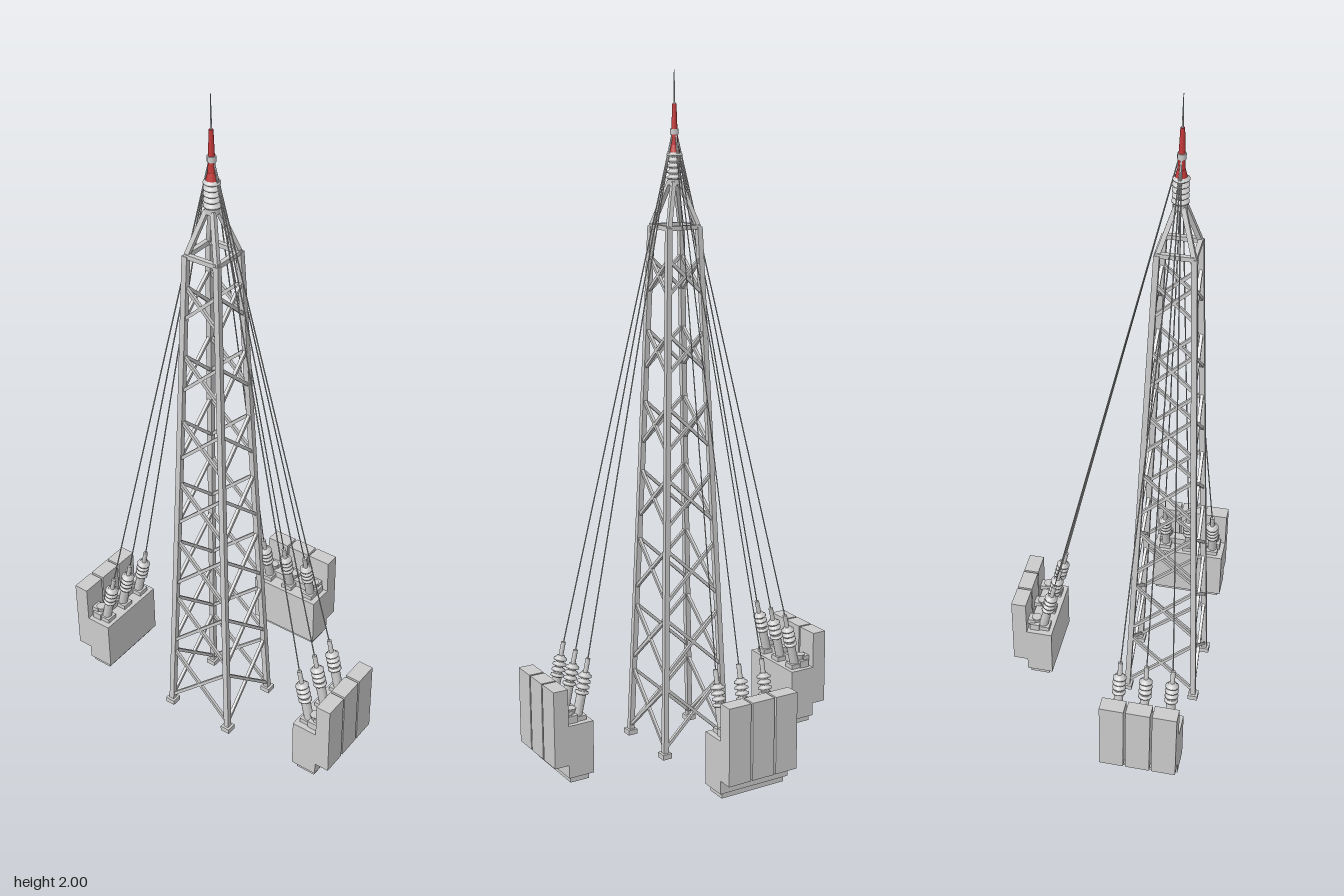
import * as THREE from 'three';

const grey = new THREE.MeshStandardMaterial({ color: 0xcccccc, flatShading: true });
const smooth = new THREE.MeshStandardMaterial({ color: 0xcccccc });
const red = new THREE.MeshStandardMaterial({ color: 0xc43a3a });
const V = (x, y, z) => new THREE.Vector3(x, y, z);

function add(parent, name, geometry, material, x = 0, y = 0, z = 0) {
  const mesh = new THREE.Mesh(geometry, material);
  mesh.name = name;
  mesh.position.set(x, y, z);
  parent.add(mesh);
  return mesh;
}

// Box given by its lower and upper limits
function block(parent, name, x0, x1, y0, y1, z0, z1) {
  return add(parent, name, new THREE.BoxGeometry(x1 - x0, y1 - y0, z1 - z0), grey,
    (x0 + x1) / 2, (y0 + y1) / 2, (z0 + z1) / 2);
}

// Square bar or round rod between two points
function between(parent, name, a, b, geometry, material) {
  const mesh = add(parent, name, geometry, material);
  mesh.position.copy(a).lerp(b, 0.5);
  mesh.quaternion.setFromUnitVectors(V(0, 1, 0), b.clone().sub(a).normalize());
  return mesh;
}
const bar = (parent, name, a, b, t) =>
  between(parent, name, a, b, new THREE.BoxGeometry(t, a.distanceTo(b), t), grey);
const rod = (parent, name, a, b, r, sides = 6) =>
  between(parent, name, a, b, new THREE.CylinderGeometry(r, r, a.distanceTo(b), sides), smooth);

// Stack of insulator discs, base at y = 0
function ribbedGeometry(height, inner, outer, count) {
  const points = [new THREE.Vector2(0, 0)];
  const step = height / count;
  for (let i = 0; i < count; i++) {
    const y = i * step;
    points.push(new THREE.Vector2(inner, y), new THREE.Vector2(outer, y + step * 0.2),
      new THREE.Vector2(outer, y + step * 0.5), new THREE.Vector2(inner, y + step * 0.75));
  }
  points.push(new THREE.Vector2(inner, height), new THREE.Vector2(0, height));
  return new THREE.LatheGeometry(points, 16);
}

const TOP = 1.565;
const halfWidth = (y) => 0.105 - 0.0355 * y;

function createTower() {
  const tower = new THREE.Group();
  tower.name = 'latticeTower';

  // Legs, foot pads and converging top struts
  for (const sx of [-1, 1]) for (const sz of [-1, 1]) {
    const w = halfWidth(TOP);
    block(tower, 'footPad', sx * 0.105 - 0.015, sx * 0.105 + 0.015, 0, 0.016,
      sz * 0.105 - 0.015, sz * 0.105 + 0.015);
    bar(tower, 'leg', V(sx * 0.105, 0.005, sz * 0.105), V(sx * w, TOP, sz * w), 0.016);
    bar(tower, 'topStrut', V(sx * w, TOP - 0.005, sz * w), V(sx * 0.01, 1.69, sz * 0.01), 0.013);
  }

  // Four faces: cross bracing at even steps plus the upper ring
  for (let f = 0; f < 4; f++) {
    const face = new THREE.Group();
    face.name = 'towerFace';
    face.rotation.y = f * Math.PI / 2;
    tower.add(face);
    for (let i = 0; i < 7; i++) {
      const y = 0.122 + i * 0.2175;
      const h = halfWidth(y) * 0.93;
      const lo = halfWidth(y - h), hi = halfWidth(y + h);
      bar(face, 'brace', V(-lo, y - h, lo), V(hi, y + h, hi), 0.009);
      bar(face, 'brace', V(lo, y - h, lo), V(-hi, y + h, hi), 0.009);
    }
    const w = halfWidth(TOP);
    bar(face, 'topRing', V(-w, TOP, w), V(w, TOP, w), 0.013);
  }

  // Mast head
  add(tower, 'headPlate', new THREE.CylinderGeometry(0.02, 0.02, 0.015, 16), smooth, 0, 1.69);
  add(tower, 'headInsulator', ribbedGeometry(0.08, 0.014, 0.023, 5), smooth, 0, 1.697);
  add(tower, 'redMast', new THREE.CylinderGeometry(0.006, 0.011, 0.135, 16), red, 0, 1.84);
  add(tower, 'redCollar', new THREE.CylinderGeometry(0.011, 0.016, 0.02, 16), red, 0, 1.783);
  add(tower, 'cableClamp', new THREE.CylinderGeometry(0.012, 0.012, 0.016, 12), smooth, 0, 1.83);
  add(tower, 'needle', new THREE.CylinderGeometry(0.001, 0.003, 0.1, 8), smooth, 0, 1.95);
  return tower;
}

// Transformer bank; local +x points away from the tower
function createBank(name) {
  const bank = new THREE.Group();
  bank.name = name;
  block(bank, 'base', 0.36, 0.42, 0, 0.022, -0.105, 0.105);
  block(bank, 'tank', 0.348, 0.428, 0.018, 0.178, -0.114, 0.114);
  block(bank, 'topRail', 0.39, 0.42, 0.177, 0.2, -0.1, 0.1);

  for (const z of [-0.078, 0, 0.078]) {
    block(bank, 'radiator', 0.427, 0.4725, 0.058, 0.29, z - 0.036, z + 0.036);
    block(bank, 'radiatorBracket', 0.405, 0.43, 0.195, 0.212, z - 0.015, z + 0.015);
    block(bank, 'bushingMount', 0.36, 0.392, 0.17, 0.192, z - 0.018, z + 0.018);
    add(bank, 'cap', new THREE.CylinderGeometry(0.016, 0.01, 0.02, 12), smooth, 0.402, 0.207, z);

    // Leaning bushing with ribs, ending in a tip that holds the cable
    const foot = V(0.384, 0.175, z), tip = V(0.345, 0.345, z);
    const dir = tip.clone().sub(foot).normalize();
    rod(bank, 'bushingStem', foot, foot.clone().addScaledVector(dir, 0.09), 0.014, 14);
    const ribs = add(bank, 'bushingRibs', ribbedGeometry(0.066, 0.012, 0.02, 4), smooth);
    ribs.position.copy(foot).addScaledVector(dir, 0.078);
    ribs.quaternion.setFromUnitVectors(V(0, 1, 0), dir);
    rod(bank, 'bushingTip', foot.clone().addScaledVector(dir, 0.14),
      foot.clone().addScaledVector(dir, 0.185), 0.007, 10);
    rod(bank, 'cable', tip, V(0.006, 1.83, 0), 0.0018, 6);
  }
  return bank;
}

export function createModel() {
  const model = new THREE.Group();
  model.name = 'transmissionTower';
  model.add(createTower());
  [['leftBank', 0], ['backBank', Math.PI / 2], ['rightBank', Math.PI]].forEach(([name, angle]) => {
    const bank = createBank(name);
    bank.rotation.y = angle;
    model.add(bank);
  });
  // Tower axis sits forward of the middle
  model.children.forEach((part) => { part.position.z = 0.174; });
  return model;
}
